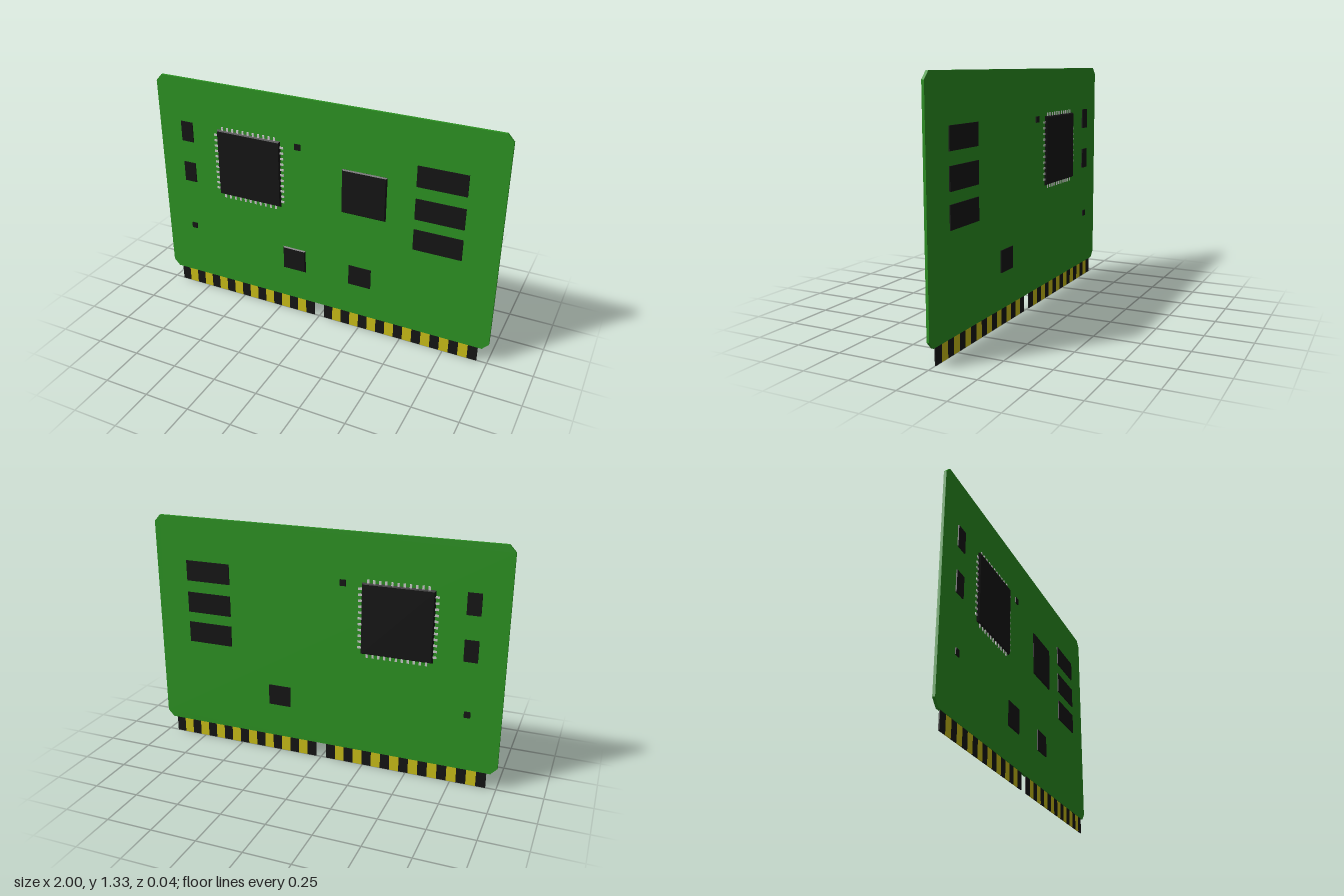
import * as THREE from 'three';

const mat = (color) => new THREE.MeshStandardMaterial({ color, flatShading: true });

export function createModel() {
  const model = new THREE.Group();
  const green = mat(0x2d9423), black = mat(0x151515), gold = mat(0xccc018), metal = mat(0xcccccc);

  const add = (name, geometry, material, parent = model) => {
    const mesh = new THREE.Mesh(geometry, material);
    mesh.name = name;
    parent.add(mesh);
    return mesh;
  };

  // Box given by its limits; a taper pulls in the faces at front and back
  const block = (name, material, [x0, x1, y0, y1, z0, z1], taper = 0, parent = model) => {
    const g = new THREE.BoxGeometry(x1 - x0, y1 - y0, z1 - z0, 1, 1, taper ? 2 : 1);
    const p = g.attributes.position;
    for (let i = 0; taper && i < p.count; i++) {
      const z = p.getZ(i) + (z0 + z1) / 2;
      if (Math.abs(z) < 0.012) continue;
      p.setX(i, p.getX(i) - Math.sign(p.getX(i)) * taper);
      p.setY(i, p.getY(i) - Math.sign(p.getY(i)) * taper);
    }
    g.computeVertexNormals();
    add(name, g, material, parent).position.set((x0 + x1) / 2, (y0 + y1) / 2, (z0 + z1) / 2);
  };

  // Board with clipped corners
  const cx = 0.035, cy = 0.038, bottom = 0.09, top = 1.33;
  const outline = new THREE.Shape([
    [-1 + cx, bottom], [1 - cx, bottom], [1, bottom + cy], [1, top - cy],
    [1 - cx, top], [-1 + cx, top], [-1, top - cy], [-1, bottom + cy],
  ].map(([x, y]) => new THREE.Vector2(x, y)));
  const board = new THREE.ExtrudeGeometry(outline, { depth: 0.014, bevelEnabled: false });
  board.translate(0, 0, -0.007);
  add('board', board, green);

  // Edge connectors: alternating insulator and contact strips
  for (const [side, start] of [['right', -0.943], ['left', 0.03]]) {
    const connector = new THREE.Group();
    connector.name = side + 'EdgeConnector';
    model.add(connector);
    const w = 0.912 / 17;
    for (let i = 0; i < 17; i++) {
      const x = start + i * w;
      block(i % 2 ? 'contact' : 'insulator', i % 2 ? gold : black, [x, x + w, 0, 0.095, -0.003, 0.003], 0, connector);
    }
  }

  // Main processor, showing on both faces, with rows of pins
  const processor = new THREE.Group();
  processor.name = 'processor';
  model.add(processor);
  const px = -0.427, py = 0.868, half = 0.202;
  block('processorBody', black, [px - half, px + half, py - half, py + half, -0.019, 0.019], 0.012, processor);
  for (let i = 0; i < 11; i++) {
    const t = (i - 5) * 0.0325, r = 0.006, e = half + 0.014;
    block('pinColumn', metal, [px - e, px + e, py + t - r, py + t + r, -0.0105, 0.0105], 0, processor);
    block('pinRow', metal, [px + t - r, px + t + r, py - e, py + e, -0.0105, 0.0105], 0, processor);
  }

  // Chips that show on both faces
  const d = 0.013;
  const through = {
    memoryChip: [[0.545, 0.81, 0.968, 1.084], [0.545, 0.81, 0.782, 0.9], [0.545, 0.81, 0.603, 0.722]],
    sideChip: [[-0.857, -0.783, 0.958, 1.075], [-0.857, -0.783, 0.708, 0.826]],
    resistor: [[-0.142, -0.108, 1.036, 1.07], [-0.838, -0.804, 0.396, 0.43]],
    smallChip: [[0.184, 0.315, 0.286, 0.404]],
  };
  for (const [name, list] of Object.entries(through))
    for (const limits of list) block(name, black, [...limits, -d, d]);

  // Chips on the front face only
  block('controllerChip', black, [0.134, 0.388, 0.726, 0.981, 0, 0.015], 0.006);
  block('lowerChip', black, [-0.224, -0.083, 0.28, 0.422, 0, 0.014], 0.006);

  return model;
}
